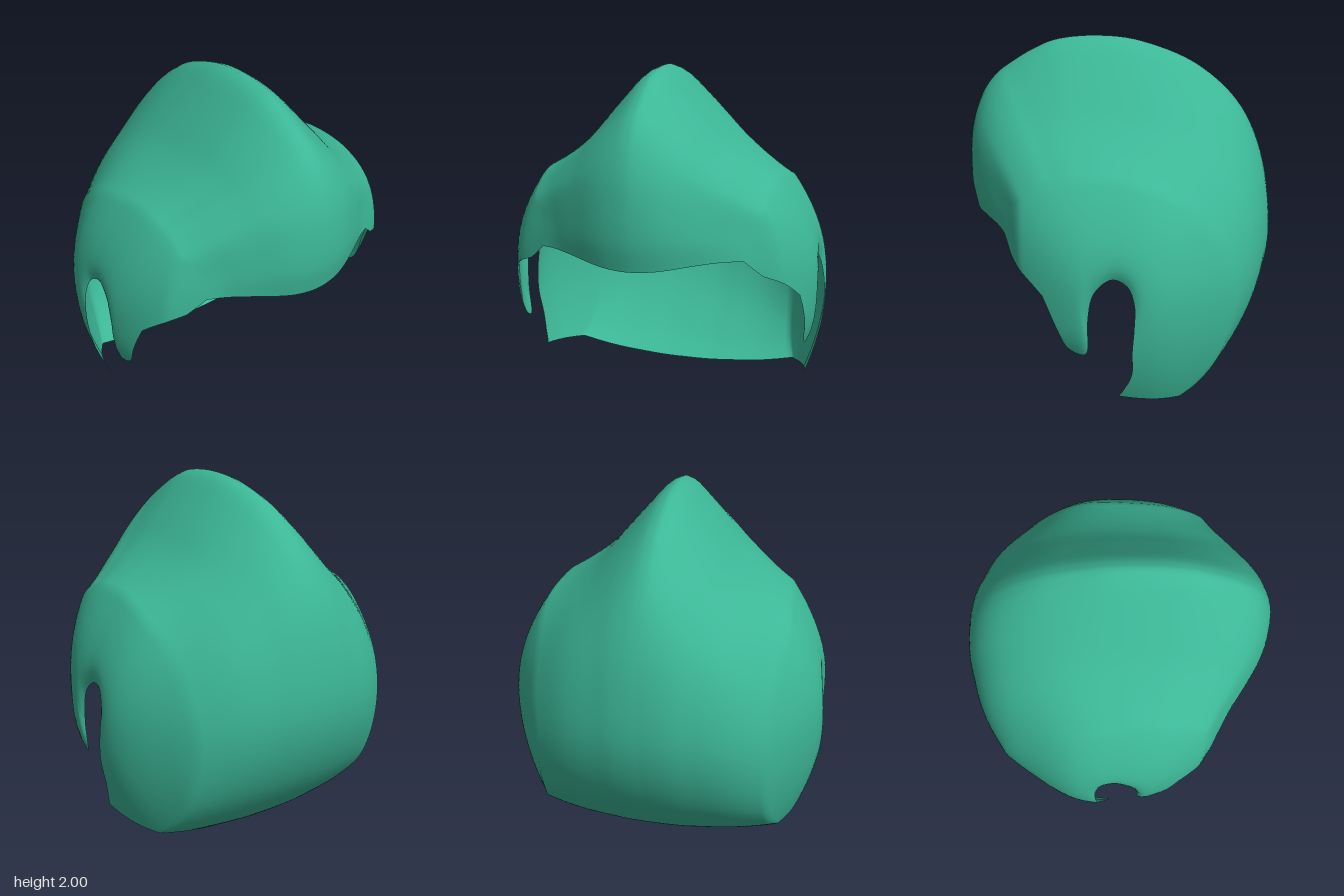
import * as THREE from 'three';

// Guide curves in side profile, [z, y]; matching stations run from the brow over the top to the nape.
const CREST = [[.86, 1], [.885, 1.15], [.885, 1.32], [.86, 1.5], [.8, 1.66], [.72, 1.77], [.63, 1.84], [.5, 1.92], [.35, 1.98],
  [.12, 2], [-.12, 1.97], [-.42, 1.85], [-.67, 1.63], [-.82, 1.33], [-.885, .95], [-.86, .65], [-.74, .36], [-.54, .11], [-.39, 0]];
const SHOULDER = [[.62, 1.03], [.61, 1.1], [.59, 1.17], [.55, 1.23], [.47, 1.3], [.4, 1.35], [.33, 1.37], [.27, 1.39], [.2, 1.4],
  [.05, 1.4], [-.15, 1.36], [-.35, 1.26], [-.52, 1.1], [-.63, .9], [-.67, .7], [-.64, .49], [-.57, .3], [-.47, .16], [-.37, .085]];
// Free edge: temple, sideburn, ear arch, then down behind the ear
const EDGE = [[.57, .94], [.42, .82], [.325, .71], [.28, .52], [.22, .45], [.16, .44], [.14, .5], [.14, .65], [.11, .82],
  [.02, .91], [-.07, .88], [-.11, .78], [-.11, .65], [-.1, .5], [-.1, .36], [-.08, .28], [-.06, .235], [-.04, .19], [-.02, .16]];

// Cross-section heights between crest (1) and shoulder (0)
const ACROSS = [0, .1, .25, .4, .55, .7, .85, 1];
const FRONT = [1, .985, .92, .79, .61, .41, .19, 0];
const TOP = [1, .945, .76, .565, .37, .22, .1, 0];
const BACK = [1, 1, .96, .85, .73, .56, .31, 0];

const curve = pts => new THREE.SplineCurve(pts.map(p => new THREE.Vector2(...p)));
const section = hs => curve(hs.map((h, i) => [ACROSS[i], h]));
const smooth = THREE.MathUtils.smoothstep;

// Half width of the domed side at a point of the side profile, narrowing at the temple and the back
function sideWidth(z, y) {
  const a = Math.abs(z + .03) / .64;
  const b = Math.abs(y - .72) / (y > .72 ? .68 : .85);
  const n = z > -.03 ? 3 : 2;
  const k = Math.pow(Math.pow(a, n) + Math.pow(b, n), 1 / n);
  return .69 + .255 * (1 - Math.pow(k, 2.1)) - .1 * smooth(z, .5, .64) - .035 * smooth(-z, .2, .55);
}

function hairGeometry() {
  const crest = curve(CREST), shoulder = curve(SHOULDER), edge = curve(EDGE);
  const front = section(FRONT), top = section(TOP), back = section(BACK);
  const steps = 108, crown = 20, side = 16, half = crown + side;

  // Point on the +x half; row 0 is the crest, row `half` the free edge
  function point(row, t) {
    const s = shoulder.getPoint(t);
    if (row <= crown) {
      const q = row / crown;
      const c = crest.getPoint(t);
      const f = front.getPoint(q);
      const toTop = smooth(t, .03, .5), toBack = smooth(t, .52, .8);
      let h = THREE.MathUtils.lerp(f.y, top.getPoint(q).y, toTop);
      h = THREE.MathUtils.lerp(h, back.getPoint(q).y, toBack);
      const brow = .03 * Math.sin(Math.PI * f.x) * f.x * (1 - smooth(t, 0, .12));
      return [f.x * sideWidth(s.x, s.y), s.y + (c.y - s.y) * h + brow, s.x + (c.x - s.x) * h];
    }
    // Side panel, with its rim curled inward around the sideburn and ear
    const v = (row - crown) / side;
    const p = s.clone().lerp(edge.getPoint(t), v);
    const curl = .045 * Math.pow(v, 7) * smooth(t, .06, .25) * (1 - smooth(t, .5, .75));
    return [sideWidth(p.x, p.y) - curl, p.y, p.x];
  }

  const positions = [], index = [], width = 2 * half + 1;
  for (let j = 0; j <= steps; j++) {
    for (let i = -half; i <= half; i++) {
      const [x, y, z] = point(Math.abs(i), j / steps);
      positions.push(Math.sign(i) * x, y, z);
    }
  }
  for (let j = 0; j < steps; j++) {
    for (let i = 0; i < width - 1; i++) {
      const a = j * width + i, b = a + width;
      index.push(a, a + 1, b, a + 1, b + 1, b);
    }
  }
  const geometry = new THREE.BufferGeometry();
  geometry.setAttribute('position', new THREE.Float32BufferAttribute(positions, 3));
  geometry.setIndex(index);
  geometry.computeVertexNormals();
  return geometry;
}

export function createModel() {
  const green = new THREE.MeshStandardMaterial({ color: 0x3cb797, side: THREE.DoubleSide });
  green.name = 'sea green';
  const hair = new THREE.Mesh(hairGeometry(), green);
  hair.name = 'crestedHairShell';
  const group = new THREE.Group();
  group.name = 'hairpiece';
  group.add(hair);
  return group;
}
